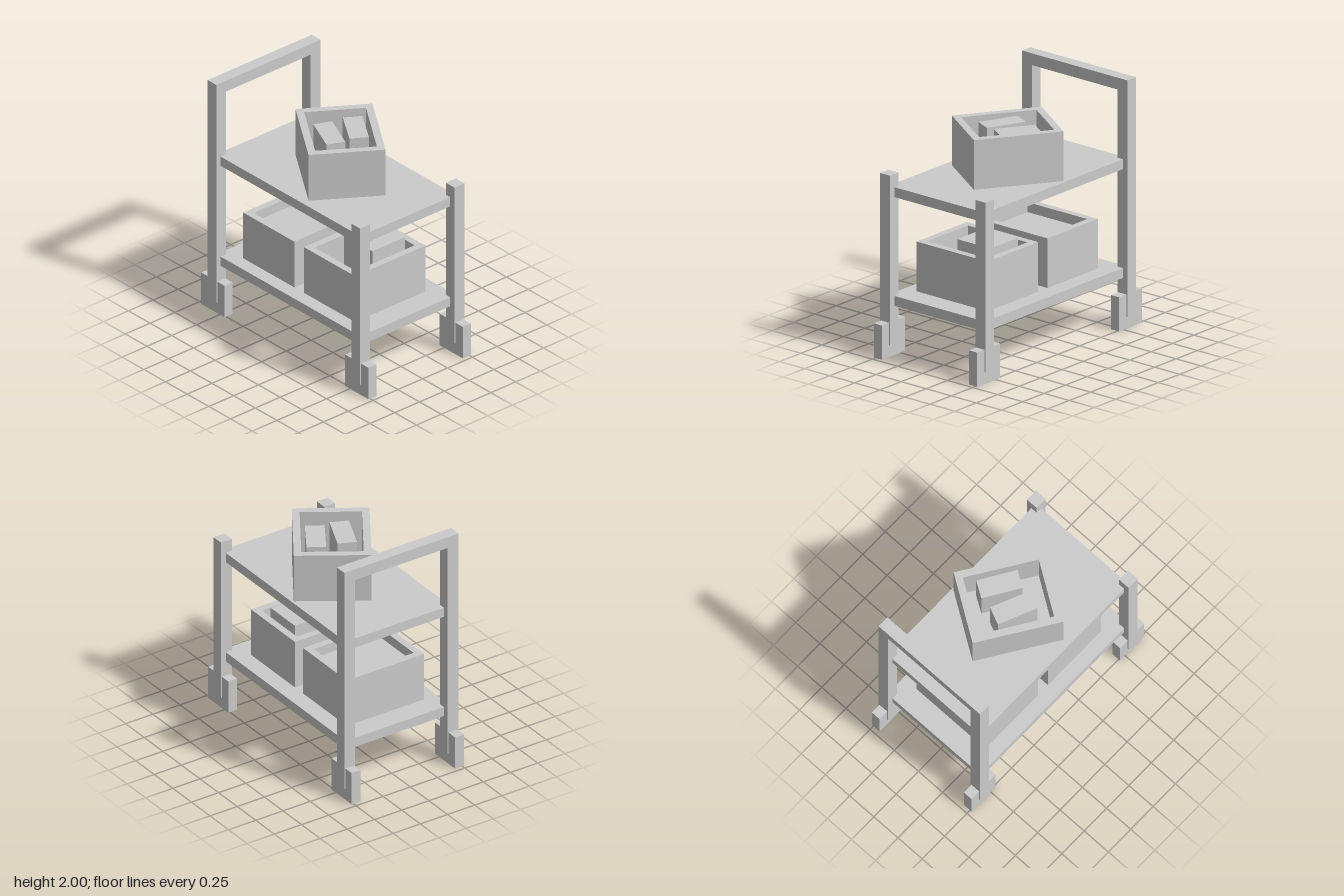
import * as THREE from 'three';

const material = new THREE.MeshStandardMaterial({ color: 0xcccccc, flatShading: true });

// Box standing on height y0, reaching up to y1
function box(parent, name, w, d, y0, y1, x = 0, z = 0, turn = 0) {
  const mesh = new THREE.Mesh(new THREE.BoxGeometry(w, y1 - y0, d), material);
  mesh.name = name;
  mesh.position.set(x, (y0 + y1) / 2, z);
  mesh.rotation.y = turn;
  parent.add(mesh);
  return mesh;
}

function rectangle(PathType, w, d) {
  const p = new PathType();
  p.moveTo(-w / 2, -d / 2);
  p.lineTo(w / 2, -d / 2);
  p.lineTo(w / 2, d / 2);
  p.lineTo(-w / 2, d / 2);
  p.closePath();
  return p;
}

// Open-topped crate: four walls as one extruded frame, plus a floor
const CRATE = { w: 0.71, d: 0.59, h: 0.4, wall: 0.058, floor: 0.05 };
function crate(parent, name, x, y, z, turn = 0) {
  const { w, d, h, wall, floor } = CRATE;
  const group = new THREE.Group();
  group.name = name;
  const shape = rectangle(THREE.Shape, w, d);
  shape.holes.push(rectangle(THREE.Path, w - 2 * wall, d - 2 * wall));
  const geometry = new THREE.ExtrudeGeometry(shape, { depth: h, bevelEnabled: false });
  geometry.rotateX(-Math.PI / 2);
  const walls = new THREE.Mesh(geometry, material);
  walls.name = 'crateWalls';
  group.add(walls);
  box(group, 'crateFloor', w - 2 * wall, d - 2 * wall, 0, floor);
  group.position.set(x, y, z);
  group.rotation.y = turn;
  parent.add(group);
  return group;
}

export function createModel() {
  const cart = new THREE.Group();
  cart.name = 'shelfCart';

  // Shelves
  const lower = 0.48, upper = 1.355;
  box(cart, 'lowerShelf', 0.96, 1.66, 0.4, lower);
  box(cart, 'upperShelf', 0.96, 1.66, 1.275, upper);

  // Posts and wheel blocks at the four corners
  for (const x of [-0.475, 0.475]) {
    for (const z of [-0.83, 0.83]) {
      const back = z < 0;
      box(cart, back ? 'backPost' : 'frontPost', 0.1, 0.1, 0.095, back ? 2 : 1.46, x, z);
      box(cart, 'wheelBlock', 0.08, 0.27, 0, 0.275, x, z);
    }
  }

  // Push handle bridging the back posts
  box(cart, 'handleBar', 0.85, 0.1, 1.905, 2, 0, -0.83);

  // Lower crates: one with a single tall box, one filled almost to the rim
  crate(cart, 'frontCrate', -0.012, lower, 0.345);
  box(cart, 'frontCrateBox', 0.33, 0.325, lower + CRATE.floor, 0.93, 0.09, 0.343);
  const backCrate = crate(cart, 'backCrate', -0.012, lower, -0.355);
  box(backCrate, 'crateFilling', CRATE.w - 2 * CRATE.wall, CRATE.d - 2 * CRATE.wall, CRATE.floor, 0.32);

  // Turned crate on the upper shelf holding two slim boxes
  crate(cart, 'topCrate', 0.021, upper, 0.028, 0.993);
  box(cart, 'slimBox', 0.327, 0.15, upper + CRATE.floor, 1.74, -0.063, -0.005, 1.162);
  box(cart, 'slimBox', 0.325, 0.15, upper + CRATE.floor, 1.74, 0.146, 0.062, 1.01);

  return cart;
}
